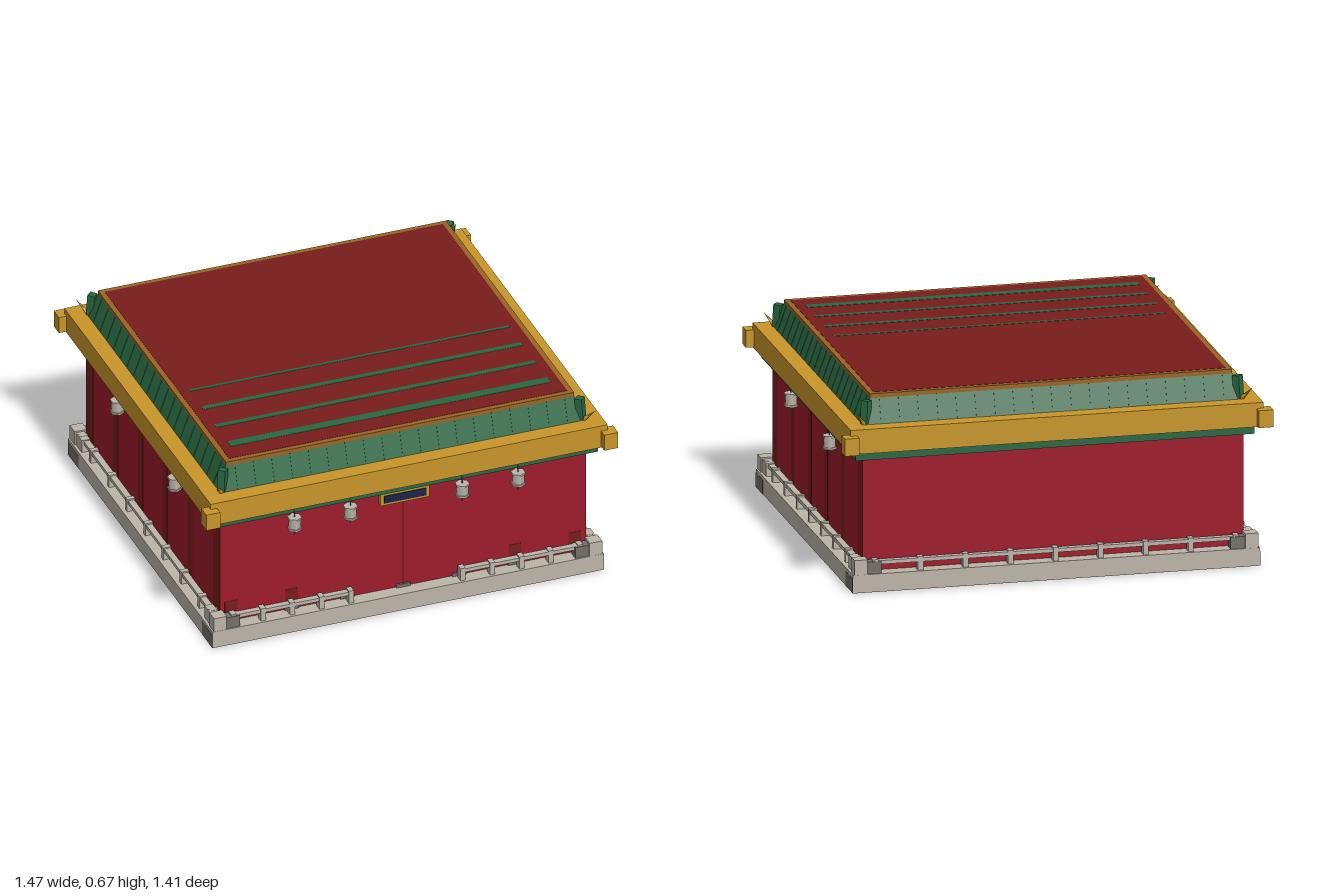
import * as THREE from 'three';

const mat = (name, color) => {
  const m = new THREE.MeshStandardMaterial({ color });
  m.name = name;
  return m;
};

export function createModel() {
  const stone = mat('pale stone', 0xbbb5a9);
  const darkStone = mat('dark stone', 0x74706a);
  const red = mat('wall red', 0x9e1b2b);
  const darkRed = mat('dark red', 0x7a1c1c);
  const green = mat('roof green', 0x296843);
  const gold = mat('eave gold', 0xc8962a);
  const brown = mat('brown gold', 0x9a6424);
  const navy = mat('navy', 0x1a2448);

  const model = new THREE.Group();
  model.name = 'hall';

  const add = (name, geo, material, x = 0, y = 0, z = 0, parent = model) => {
    const m = new THREE.Mesh(geo, material);
    m.name = name;
    m.position.set(x, y, z);
    parent.add(m);
    return m;
  };
  // Box given by its size, bottom and top heights, and centre x and z
  const box = (name, material, w, d, y0, y1, x = 0, z = 0, parent = model) =>
    add(name, new THREE.BoxGeometry(w, y1 - y0, d), material, x, (y0 + y1) / 2, z, parent);
  // Square bar between two points
  const bar = (name, material, a, b, w) => {
    const from = new THREE.Vector3(...a), to = new THREE.Vector3(...b);
    const m = add(name, new THREE.BoxGeometry(w, w, from.distanceTo(to)), material);
    m.position.copy(from).add(to).multiplyScalar(0.5);
    m.lookAt(to);
  };

  // Terrace with a dark border underneath, and walls
  box('terrace', stone, 1.4, 1.336, 0.002, 0.064);
  box('undersideBorder', darkStone, 1.396, 1.332, 0.001, 0.009);
  box('undersideSlab', stone, 1.3, 1.236, 0, 0.008);
  box('walls', red, 1.308, 1.236, 0.064, 0.46);
  box('doorSeam', darkRed, 0.006, 0.004, 0.075, 0.455, 0, 0.617);

  // Side pilasters, nearly flush with the walls
  for (const s of [-1, 1]) {
    for (const z of [-0.347, -0.117, 0.11, 0.342])
      box('sidePilaster', darkRed, 0.008, 0.043, 0.064, 0.455, s * 0.651, z);
    for (const e of [-1, 1]) {
      box('cornerPilaster', darkRed, 0.008, 0.064, 0.064, 0.455, s * 0.651, e * 0.5855);
      box('terraceCornerStone', darkStone, 0.006, 0.097, 0.002, 0.052, s * 0.698, e * 0.619);
    }
  }

  // Front column feet and plinths
  for (const x of [-0.615, -0.4, 0.4, 0.615])
    box('columnFoot', darkRed, 0.045, 0.01, 0.064, 0.14, x, 0.614);
  for (const x of [-0.4, -0.2, 0, 0.2, 0.4])
    box('plinth', darkStone, 0.05, 0.01, 0.064, 0.076, x, 0.62);

  // Railings: a rail with evenly spaced posts along one edge
  const railing = (alongX, from, to, fixed, count) => {
    const g = new THREE.Group();
    g.name = 'railing';
    const mid = (from + to) / 2, len = to - from;
    const put = (name, l, w, y0, y1, t) => alongX
      ? box(name, stone, l, w, y0, y1, t, fixed, g)
      : box(name, stone, w, l, y0, y1, fixed, t, g);
    put('topRail', len, 0.022, 0.093, 0.106, mid);
    for (let i = 0; i < count; i++)
      put('railPost', 0.018, 0.028, 0.064, 0.111, from + (len * i) / (count - 1));
    model.add(g);
  };
  for (const s of [-1, 1]) {
    railing(false, -0.6, 0.6, s * 0.672, 2);
    railing(false, -0.5, 0.5, s * 0.672, 7);
    railing(true, s < 0 ? -0.62 : 0.2, s < 0 ? -0.2 : 0.62, 0.645, 5);
    for (const e of [-1, 1]) {
      box('cornerPost', stone, 0.045, 0.045, 0.064, 0.115, s * 0.672, e * 0.645);
      box('cornerPostSide', darkStone, 0.05, 0.034, 0.064, 0.105, s * 0.625, e * 0.645);
      box('cornerPostEnd', stone, 0.03, 0.06, 0.064, 0.11, s * 0.675, e * 0.597);
    }
  }
  railing(true, -0.62, 0.62, -0.645, 9);

  // Eaves
  box('greenBeam', green, 1.372, 1.296, 0.455, 0.49);
  box('eave', gold, 1.42, 1.352, 0.486, 0.57);

  // Sloped roof skirt: a box whose top edge is drawn in
  const skirt = new THREE.BoxGeometry(1.308, 0.09, 1.24);
  const p = skirt.attributes.position;
  for (let i = 0; i < p.count; i++)
    if (p.getY(i) > 0) p.setXYZ(i, p.getX(i) * 0.95, p.getY(i), p.getZ(i) * 0.95);
  skirt.computeVertexNormals();
  add('roofSkirt', skirt, green, 0, 0.615, 0);

  // Fine tile ribs running straight up the skirt
  for (const s of [-1, 1])
    for (let i = -9; i <= 9; i++) {
      const x = (i / 9) * 0.59, z = (i / 9) * 0.555;
      bar('tileRib', green, [x, 0.572, s * 0.619], [x, 0.654, s * 0.591], 0.003);
      bar('tileRib', green, [s * 0.653, 0.572, z], [s * 0.6235, 0.654, z], 0.003);
    }

  // Corner ridges, eave blocks and upturned horns
  for (const s of [-1, 1])
    for (const e of [-1, 1]) {
      bar('cornerRidge', green, [s * 0.642, 0.572, e * 0.607], [s * 0.638, 0.65, e * 0.603], 0.026);
      box('eaveCorner', gold, 0.05, 0.048, 0.49, 0.55, s * 0.712, e * 0.681);
      const horn = add('cornerHorn', new THREE.ConeGeometry(0.01, 0.07, 6), gold,
        s * 0.662, 0.59, e * 0.628);
      horn.quaternion.setFromUnitVectors(new THREE.Vector3(0, 1, 0),
        new THREE.Vector3(s * 0.55, 0.75, e * 0.55).normalize());
    }

  // Roof top: rim, red deck and green bands
  box('roofRim', brown, 1.246, 1.184, 0.653, 0.668);
  box('roofDeck', darkRed, 1.21, 1.148, 0.66, 0.669);
  for (const [z, w] of [[0.12, 0.012], [0.24, 0.021], [0.364, 0.021], [0.488, 0.034]])
    box('roofBand', green, 1.144, w, 0.664, 0.67, 0, z);

  // Hanging lanterns
  const lantern = (x, z) => {
    const g = new THREE.Group();
    g.name = 'lantern';
    add('lanternBody', new THREE.CylinderGeometry(0.021, 0.021, 0.036, 6), stone, 0, 0, 0, g);
    for (const s of [-1, 1])
      add('lanternCap', new THREE.CylinderGeometry(0.025, 0.025, 0.007, 6), stone, 0, s * 0.02, 0, g);
    add('lanternCord', new THREE.CylinderGeometry(0.002, 0.002, 0.03, 6), darkStone, 0, 0.035, 0, g);
    add('lanternTassel', new THREE.CylinderGeometry(0.004, 0.002, 0.022, 6), darkStone, 0, -0.033, 0, g);
    g.position.set(x, 0.416, z);
    model.add(g);
  };
  for (const x of [-0.4, -0.2, 0.2, 0.4]) lantern(x, 0.65);
  for (const s of [-1, 1]) for (const z of [-0.265, 0.265]) lantern(s * 0.68, z);

  // Name board above the door, left blank
  box('boardFrame', gold, 0.174, 0.02, 0.405, 0.451, 0, 0.628);
  box('boardPanel', navy, 0.15, 0.006, 0.414, 0.442, 0, 0.638);

  return model;
}
